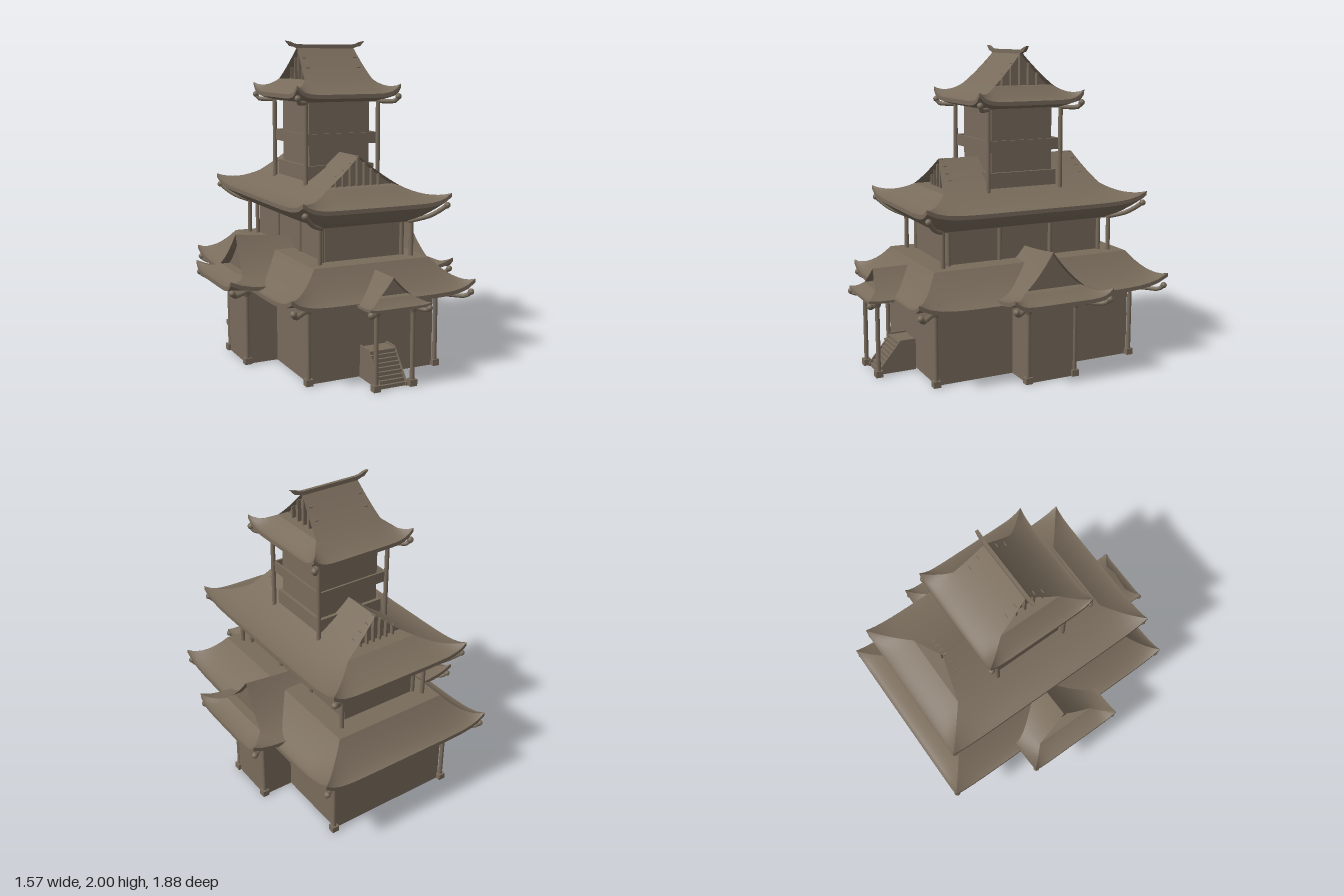
import * as THREE from 'three';
import { ParametricGeometry } from 'three/addons/geometries/ParametricGeometry.js';

const brown = new THREE.MeshStandardMaterial({ color: 0x786b5b, side: THREE.DoubleSide });
brown.name = 'warm brown';

function add(parent, name, geometry, x = 0, y = 0, z = 0) {
  const mesh = new THREE.Mesh(geometry, brown);
  mesh.name = name;
  mesh.position.set(x, y, z);
  parent.add(mesh);
  return mesh;
}
const box = (parent, name, w, h, d, x, y, z) => add(parent, name, new THREE.BoxGeometry(w, h, d), x, y, z);

// Sweeps ring(b, s) = [half length, half width, height] along the long sides and/or the ends
function strip(parent, name, ring, { long = true, end = true, from = 0, rows = 8, cols = 24 } = {}) {
  for (const sign of [1, -1]) {
    if (long) add(parent, name, new ParametricGeometry((a, b, p) => {
      const s = sign * (2 * a - 1), [hu, hv, y] = ring(b, s);
      p.set(s * hu, y, sign * hv);
    }, cols, rows));
    if (end) add(parent, name, new ParametricGeometry((a, b, p) => {
      const s = sign * (1 - 2 * a), [hu, hv, y] = ring(Math.min(1, from + b * (1 - from)), s);
      p.set(sign * hu, y, s * hv);
    }, cols, rows));
  }
}

// Four upright walls, open at top and bottom
function walls(parent, name, hx, hz, y0, y1) {
  strip(parent, name, b => [hx, hz, y0 + (1 - b) * (y1 - y0)], { rows: 1, cols: 1 });
}

// Curved hip or hip-and-gable roof, ridge along local x
function roof(parent, name, o) {
  const g = new THREE.Group();
  g.name = name;
  g.position.z = o.z || 0;
  if (o.turn) g.rotation.y = Math.PI / 2;
  parent.add(g);
  const { U, V, ru, gu, tg = 0, v0 = 0, ridge, eave, power, lift, wu, wv, yIn,
    ridgeLift = 0, thick = 0.025, sag = 0, slats = 0, gap = 0 } = o;
  const k = t => Math.max(0, (t - tg) / (1 - tg));
  const L = t => (t < tg ? ru + (gu - ru) * t / tg : gu + (U - gu) * k(t));
  const W = t => v0 + (V - v0) * t;
  const height = t => eave + (ridge - eave) * Math.pow(Math.max(0, 1 - t), power);
  const Y = (t, s) => height(t) + lift * Math.pow(Math.abs(s), 8) * k(t) ** 2
    + ridgeLift * s * s * (1 - t) ** 2;

  // Tiled slopes, eave edge and soffit
  const slope = (t, s) => [L(t), W(t), Y(t, s)];
  strip(g, 'roofSlope', slope, { end: false, rows: 16 });
  strip(g, 'roofSkirt', slope, { long: false, from: tg });
  strip(g, 'eaveEdge', (b, s) => [U, V, Y(1, s) - thick * b], { rows: 1 });
  strip(g, 'soffit', (b, s) => [U + (wu - U) * b, V + (wv - V) * b,
    (Y(1, s) - thick) * (1 - b) + yIn * b - sag * Math.sin(Math.PI * b)], { rows: 5 });
  box(g, 'ceiling', 2 * wu, 0.008, 2 * wv, 0, yIn, 0);
  if (v0) box(g, 'roofDeck', 2 * gu, 0.008, 2 * v0, 0, ridge - 0.004, 0);

  // Curled rafters under the four corners
  corners((x, z) => {
    const at = (f, y) => new THREE.Vector3(x * (wu + (U - wu) * f), y, z * (wv + (V - wv) * f));
    const tip = at(0.9, eave + lift * 0.3 - thick - 0.012);
    const curve = new THREE.CatmullRomCurve3([
      at(0, yIn), at(0.5, (yIn + eave) / 2 - 0.025), at(0.78, eave - thick - 0.02), tip]);
    add(g, 'hipRafter', new THREE.TubeGeometry(curve, 8, 0.014, 8));
    add(g, 'rafterEnd', new THREE.SphereGeometry(0.02, 10, 8), tip.x, tip.y, tip.z);
  }, 1, 1);

  // Recessed gables with upright slats
  if (tg) for (const x of [1, -1]) {
    const wallX = ru - 0.03, base = height(tg);
    add(g, 'gableWall', new ParametricGeometry((a, b, p) => {
      const s = 2 * a - 1, t = tg * Math.abs(s);
      p.set(x * wallX, base - 0.01 + (Y(t, 1) - base + 0.005) * b, s * W(tg));
    }, 20, 2));
    box(g, 'gableLedge', gu - wallX, 0.006, 2 * W(tg), x * (gu + wallX) / 2, base - 0.003, 0);
    if (slats) for (let i = -slats; i <= slats; i++) {
      const v = i * gap, h = height(Math.abs(v) / V) - base;
      box(g, 'gableSlat', 0.025, h, 0.012, x * (ru - 0.018), base + h / 2, v);
    }
  }
}

function post(parent, name, x, z, y0, y1, footed) {
  add(parent, name, new THREE.CylinderGeometry(0.014, 0.014, y1 - y0, 12), x, (y0 + y1) / 2, z);
  if (!footed) return;
  box(parent, name + 'Foot', 0.045, 0.04, 0.045, x, 0.02, z);
  add(parent, name + 'Cap', new THREE.CylinderGeometry(0.03, 0.018, 0.035, 12), x, y1 - 0.018, z);
}

function corners(fn, hx, hz) {
  for (const x of [1, -1]) for (const z of [1, -1]) fn(x * hx, z * hz);
}

export function createModel() {
  const model = new THREE.Group();
  model.name = 'pagodaCastle';
  const body = new THREE.Group();
  body.name = 'building';
  body.position.set(-0.003, 0, -0.08);
  model.add(body);

  // Ground storey
  walls(body, 'groundWall', 0.415, 0.67, 0, 0.47);
  corners((x, z) => post(body, 'groundPost', x, z, 0, 0.47, true), 0.43, 0.68);
  roof(body, 'lowerRoof', {
    turn: true, U: 0.85, V: 0.607, ru: 0.667, gu: 0.667, v0: 0.385, ridge: 0.69, eave: 0.505,
    power: 1.5, lift: 0.065, wu: 0.68, wv: 0.425, yIn: 0.46
  });

  // Side wings under one cross roof
  for (const s of [1, -1]) {
    box(body, 'wingEndWall', 0.01, 0.47, 0.32, s * 0.615, 0.235, 0);
    for (const z of [0.16, -0.16]) {
      box(body, 'wingSideWall', 0.2, 0.47, 0.01, s * 0.515, 0.235, z);
      post(body, 'wingPost', s * 0.615, z, 0, 0.47, true);
    }
  }
  roof(body, 'wingRoof', {
    U: 0.78, V: 0.332, ru: 0.625, gu: 0.655, tg: 0.62, ridge: 0.755, ridgeLift: 0.042, eave: 0.525,
    power: 1.7, lift: 0.055, wu: 0.61, wv: 0.165, yIn: 0.468
  });

  // Entrance porch and stair
  for (const x of [0.12, -0.12]) post(body, 'porchPost', x, 0.935, 0, 0.48, true);
  roof(body, 'porchRoof', {
    turn: true, z: 0.7, U: 0.31, V: 0.197, ru: 0.22, gu: 0.24, tg: 0.55, ridge: 0.655, eave: 0.5,
    power: 1.5, lift: 0.01, wu: 0.24, wv: 0.12, yIn: 0.478, thick: 0.015
  });
  const steps = 9;
  for (let i = 0; i < steps; i++) {
    const h = 0.19 * (i + 1) / steps, front = 0.92 - 0.14 * i / steps;
    box(body, 'stairStep', 0.17, h, front - 0.68, 0, h / 2, (front + 0.68) / 2);
  }
  const side = new THREE.Shape([[0.93, 0], [0.93, 0.02], [0.78, 0.2], [0.68, 0.2], [0.68, 0]]
    .map(p => new THREE.Vector2(...p)));
  for (const x of [0.088, -0.088]) {
    const geo = new THREE.ExtrudeGeometry(side, { depth: 0.01, bevelEnabled: false });
    geo.translate(0, 0, -0.005).rotateY(-Math.PI / 2);
    add(body, 'stairSide', geo, x);
  }

  // Middle storey
  walls(body, 'middleWall', 0.255, 0.53, 0.68, 0.92);
  corners((x, z) => post(body, 'middlePost', x, z, 0.68, 0.92), 0.31, 0.58);
  corners((x, z) => post(body, 'middleCornerPost', x, z, 0.68, 0.92), 0.272, 0.528);
  corners((x, z) => post(body, 'middleSidePost', x, z, 0.68, 0.92), 0.258, 0.178);
  roof(body, 'middleRoof', {
    turn: true, U: 0.75, V: 0.49, ru: 0.475, gu: 0.545, tg: 0.5, ridge: 1.31, eave: 1.035,
    power: 1.6, lift: 0.055, wu: 0.575, wv: 0.295, yIn: 0.905, sag: 0.015, slats: 3, gap: 0.048
  });

  // Watch tower
  walls(body, 'towerWall', 0.208, 0.208, 1.1, 1.64);
  walls(body, 'towerBase', 0.23, 0.23, 1.08, 1.23);
  strip(body, 'towerBaseTop', b => [0.23 - 0.022 * b, 0.23 - 0.022 * b, 1.23], { rows: 1, cols: 1 });
  corners((x, z) => post(body, 'towerPost', x, z, 1.08, 1.64), 0.25, 0.25);
  for (const s of [1, -1]) {
    box(body, 'balconyRail', 0.49, 0.07, 0.012, 0, 1.395, s * 0.242);
    box(body, 'balconyRail', 0.012, 0.07, 0.49, s * 0.242, 1.395, 0);
  }
  roof(body, 'topRoof', {
    U: 0.354, V: 0.357, ru: 0.195, gu: 0.235, tg: 0.57, ridge: 1.965, eave: 1.675,
    power: 1.45, lift: 0.06, wu: 0.25, wv: 0.25, yIn: 1.625, sag: 0.005, slats: 2, gap: 0.06
  });

  // Ridge beam with upturned ends
  const half = [[0.19, 1.95], [0.215, 1.962], [0.245, 1.968], [0.262, 1.985],
    [0.275, 2], [0.24, 1.993], [0.215, 1.982], [0.19, 1.978]];
  const beam = new THREE.Shape([...half, ...half.slice().reverse().map(([x, y]) => [-x, y])]
    .map(p => new THREE.Vector2(...p)));
  add(body, 'ridgeBeam', new THREE.ExtrudeGeometry(beam, { depth: 0.02, bevelEnabled: false }), 0, 0, -0.01);
  return model;
}
